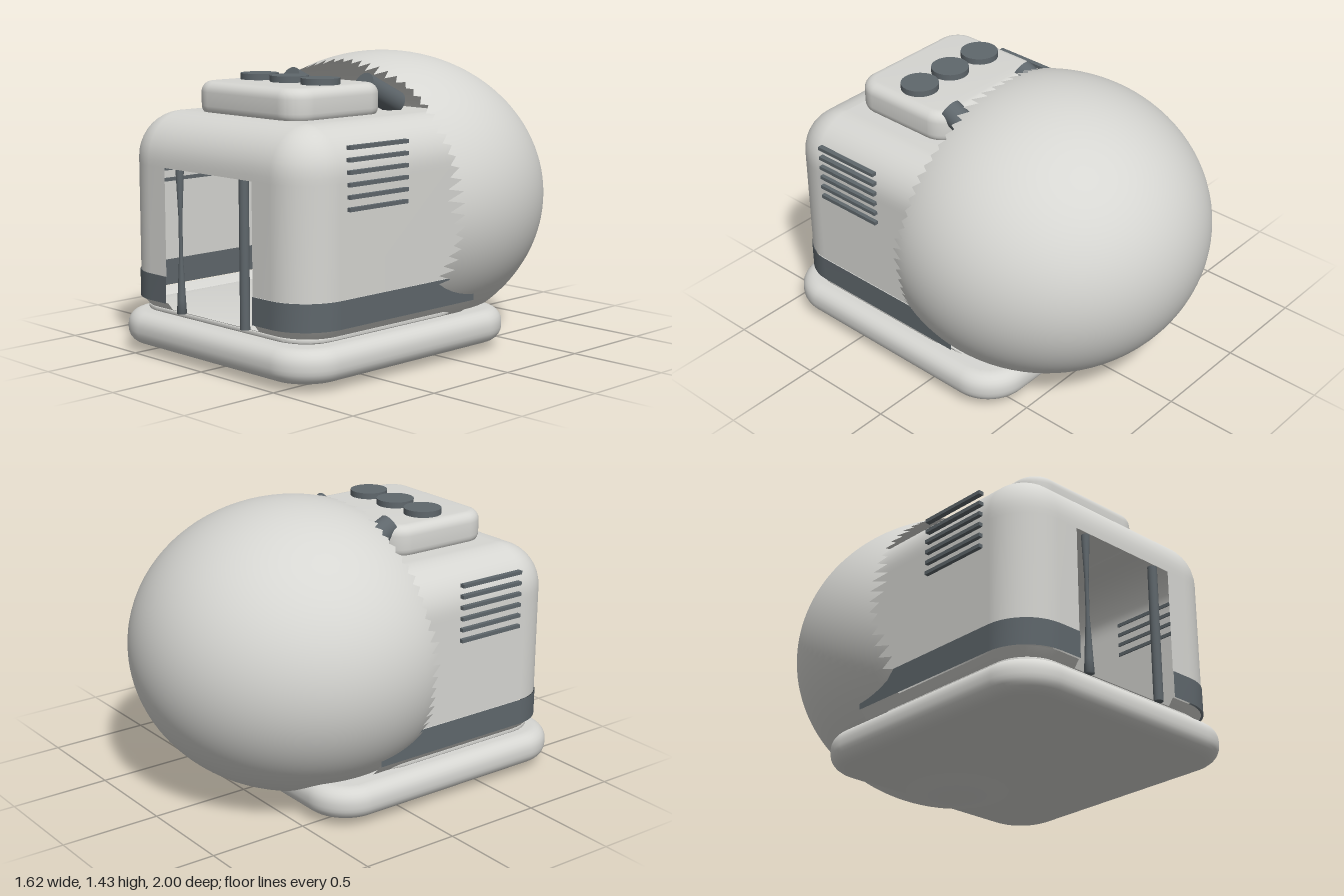
import * as THREE from 'three';
import { toCreasedNormals } from 'three/addons/utils/BufferGeometryUtils.js';

const lightShell = new THREE.MeshStandardMaterial({ color: 0xd6d6d2, side: THREE.DoubleSide });
lightShell.name = 'light shell';
const darkTrim = new THREE.MeshStandardMaterial({ color: 0x5f676c, side: THREE.DoubleSide });
darkTrim.name = 'dark trim';

const DOOR = { half: 0.31, bottom: 0.235, top: 0.92 };

// Horizontal rounded slab with softened rims
function slab(half, z0, z1, y0, y1, radius, bevel) {
  const w = half - bevel, a = z0 + bevel, b = z1 - bevel, r = radius - bevel;
  const s = new THREE.Shape();
  s.moveTo(w, -a - r);
  s.absarc(w - r, -a - r, r, 0, Math.PI / 2);
  s.absarc(-w + r, -a - r, r, Math.PI / 2, Math.PI);
  s.absarc(-w + r, -b + r, r, Math.PI, Math.PI * 1.5);
  s.absarc(w - r, -b + r, r, Math.PI * 1.5, Math.PI * 2);
  const geo = new THREE.ExtrudeGeometry(s, {
    depth: y1 - y0 - 2 * bevel, bevelThickness: bevel, bevelSize: bevel,
    bevelSegments: 6, curveSegments: 10,
  });
  geo.rotateX(-Math.PI / 2).translate(0, y0 + bevel, 0);
  return toCreasedNormals(geo, 0.6);
}

// U-shaped plan of the cabin, open at the back, shrunk by an inset
function planPoints(inset) {
  const w = 0.65 - inset, zf = 0.95 - inset, r = 0.22 - inset;
  const right = [[w, -0.15]];
  for (let i = 0; i <= 10; i++) {
    const a = (i / 10) * Math.PI / 2;
    right.push([w - r + r * Math.cos(a), zf - r + r * Math.sin(a)]);
  }
  right.push([Math.min(DOOR.half, w), zf]);
  return [...right, ...right.slice().reverse().map(([x, z]) => [-x, z])];
}

// Skin through rings of [height, inset], leaving the doorway open
function cabinSkin(rings, closeTop) {
  const plans = rings.map(([y, inset]) => planPoints(inset).map(([x, z]) => [x, y, z]));
  if (closeTop) plans.push(plans[plans.length - 1].map(([, y, z]) => [0, y, z]));
  const n = plans[0].length, index = [];
  for (let k = 0; k < plans.length - 1; k++) {
    const inDoor = plans[k][0][1] >= DOOR.bottom && plans[k + 1][0][1] <= DOOR.top;
    for (let i = 0; i < n - 1; i++) {
      if (inDoor && i === n / 2 - 1) continue;
      const a = k * n + i, c = a + n;
      index.push(a, c, a + 1, a + 1, c, c + 1);
    }
  }
  const geo = new THREE.BufferGeometry();
  geo.setAttribute('position', new THREE.Float32BufferAttribute(plans.flat(2), 3));
  geo.setIndex(index);
  geo.computeVertexNormals();
  return geo;
}

// Open ellipsoid with a torn, toothed front rim
function domeGeometry() {
  const cols = 156, rows = 32, rim = 1.87;
  const geo = new THREE.SphereGeometry(1, cols, rows, 0, Math.PI * 2, 0, rim);
  const pos = geo.attributes.position, nor = geo.attributes.normal;
  for (let j = 0; j <= cols; j++) {
    const phi = (j / cols) * Math.PI * 2;
    const vary = 0.75 + 0.25 * Math.sin(j * 2.7);
    const tooth = j % 2 ? (0.05 + 0.06 * Math.abs(Math.cos(2 * phi))) * vary : 0;
    const lean = j % 2 ? 0.015 : 0;
    const v = new THREE.Vector3().setFromSphericalCoords(1, rim + tooth, phi - Math.PI / 2 + lean);
    v.z *= -1;
    v.set(-Math.cos(phi + lean) * Math.sin(rim + tooth), v.y, Math.sin(phi + lean) * Math.sin(rim + tooth));
    pos.setXYZ(rows * (cols + 1) + j, v.x, v.y, v.z);
    nor.setXYZ(rows * (cols + 1) + j, v.x, v.y, v.z);
  }
  return geo.rotateX(-Math.PI / 2).scale(0.81, 0.715, 0.81).translate(0, 0.72, -0.19);
}

export function createModel() {
  const model = new THREE.Group();
  const add = (name, geo, mat, x = 0, y = 0, z = 0) => {
    const m = new THREE.Mesh(geo, mat);
    m.name = name;
    m.position.set(x, y, z);
    model.add(m);
    return m;
  };

  add('basePlatform', slab(0.695, -0.45, 1.0, 0.04, 0.2, 0.22, 0.07), lightShell);
  add('dome', domeGeometry(), lightShell);

  // Hollow cabin with a dark band near its foot
  add('cabinFoot', cabinSkin([[0.19, 0.09], [0.21, 0.06], [0.235, 0.035], [0.27, 0.008]]), lightShell);
  add('cabinBand', cabinSkin([[0.27, -0.004], [0.4, -0.004]]), darkTrim);
  const upper = [[0.4, 0], [0.92, 0]];
  for (let i = 0; i <= 10; i++) {
    const a = (i / 10) * Math.PI / 2;
    upper.push([0.95 + 0.22 * Math.sin(a), 0.22 * (1 - Math.cos(a))]);
  }
  add('cabinShell', cabinSkin(upper, true), lightShell);
  add('cabinFloor', slab(0.61, -0.15, 0.915, 0.21, 0.232, 0.18, 0.005), lightShell);

  // Door posts, the one on the model's right pinched at the middle
  add('leftDoorPost', new THREE.CylinderGeometry(0.023, 0.023, 0.69, 16), darkTrim, 0.228, 0.577, 0.925);
  const pinched = [[0, 0.232], [0.024, 0.232], [0.02, 0.3], [0.009, 0.52], [0.01, 0.7], [0.02, 0.922], [0, 0.922]];
  add('rightDoorPost', new THREE.LatheGeometry(pinched.map(([r, y]) => new THREE.Vector2(r, y)), 16),
    darkTrim, -0.228, 0, 0.925);

  // Roof hatch with three round knobs
  add('roofHatch', slab(0.365, 0.14, 0.738, 1.15, 1.315, 0.12, 0.05), lightShell);
  for (const x of [-0.213, 0, 0.213]) {
    add('roofKnob', new THREE.CylinderGeometry(0.093, 0.093, 0.04, 32), darkTrim, x, 1.325, 0.438);
  }

  for (const side of [-1, 1]) {
    // Pipe running from the hatch back into the dome
    const pipe = add('roofPipe', new THREE.CylinderGeometry(0.06, 0.06, 0.24, 24), darkTrim, side * 0.257, 1.25, 0.09);
    pipe.rotation.x = Math.PI / 2 - 0.44;
    // Side vent slats
    for (let i = 0; i < 6; i++) {
      add('ventSlat', new THREE.BoxGeometry(0.026, 0.018, 0.37), darkTrim, side * 0.657, 0.803 + i * 0.055, 0.505);
    }
  }
  return model;
}
